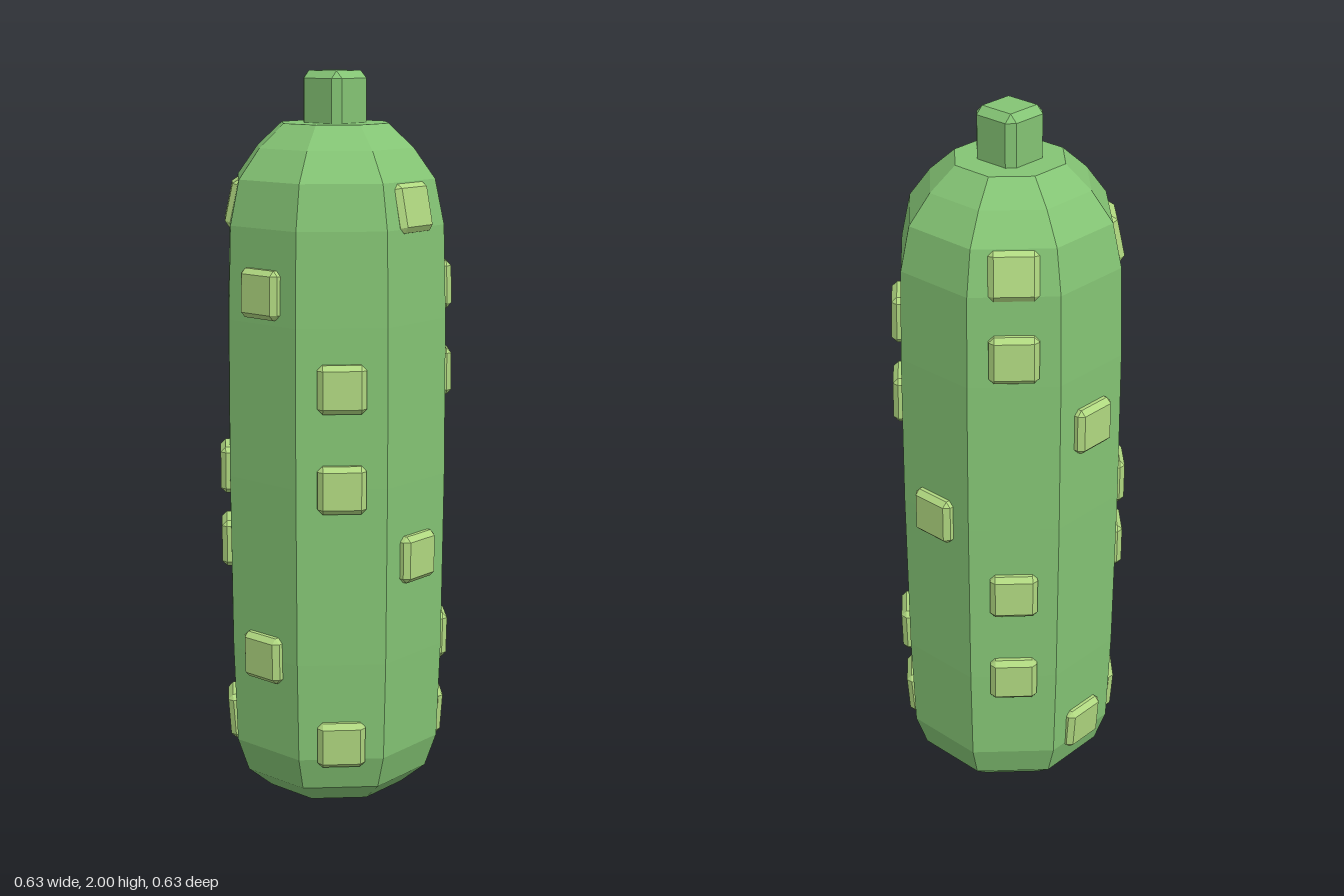
import * as THREE from 'three';
import { ConvexGeometry } from 'three/addons/geometries/ConvexGeometry.js';

// Box with every edge and corner cut flat by c
function chamferedBox(w, h, d, c) {
  const half = [w / 2, h / 2, d / 2];
  const points = [];
  for (const sx of [-1, 1]) for (const sy of [-1, 1]) for (const sz of [-1, 1]) {
    for (let axis = 0; axis < 3; axis++) {
      const p = [sx, sy, sz].map((s, i) => s * (half[i] - (i === axis ? 0 : c)));
      points.push(new THREE.Vector3(...p));
    }
  }
  return new ConvexGeometry(points);
}

export function createModel() {
  const model = new THREE.Group();
  model.name = 'cucumber';
  const skin = new THREE.MeshStandardMaterial({ color: 0x84c474, flatShading: true });
  const pale = new THREE.MeshStandardMaterial({ color: 0xb0d880, flatShading: true });

  // Eight-sided body; the profile gives the distance to the flats at each height
  const profile = [
    [0, 0], [0.185, 0], [0.25, 0.06], [0.28, 0.155], [0.289, 0.43], [0.293, 0.92],
    [0.291, 1.35], [0.284, 1.6], [0.26, 1.72], [0.205, 1.8], [0.14, 1.863], [0, 1.863],
  ].map(([r, y]) => new THREE.Vector2(r / Math.cos(Math.PI / 8), y));
  const body = new THREE.Mesh(new THREE.LatheGeometry(profile, 8, Math.PI / 8), skin);
  body.name = 'body';
  model.add(body);

  // Stem block on the top
  const stem = new THREE.Mesh(chamferedBox(0.138, 0.16, 0.138, 0.02), skin);
  stem.name = 'stem';
  stem.position.y = 1.92;
  model.add(stem);

  // Warts in rows: height, reach of the outer face, tilt, and the flats they sit on
  // (flat 0 faces the front, 2 faces +x, counted in eighths of a turn)
  const rows = [
    { y: 1.65, reach: 0.288, tilt: 0.21, flats: [2, 5, 7] },
    { y: 1.43, reach: 0.314, tilt: 0.02, flats: [0, 3, 5] },
    { y: 1.19, reach: 0.317, tilt: 0.01, flats: [1, 3, 6] },
    { y: 0.92, reach: 0.318, tilt: 0, flats: [1, 4, 7] },
    { y: 0.71, reach: 0.317, tilt: 0, flats: [2, 5, 7] },
    { y: 0.43, reach: 0.314, tilt: -0.02, flats: [0, 3, 5] },
    { y: 0.2, reach: 0.302, tilt: -0.07, flats: [1, 3, 6, 7] },
  ];
  const depth = 0.055;
  const wartGeometry = chamferedBox(0.13, 0.13, depth, 0.014);
  const warts = new THREE.Group();
  warts.name = 'warts';
  for (const { y, reach, tilt, flats } of rows) {
    for (const flat of flats) {
      const pivot = new THREE.Group();
      pivot.name = 'wart';
      pivot.rotation.y = flat * Math.PI / 4;
      const wart = new THREE.Mesh(wartGeometry, pale);
      wart.name = 'wartBlock';
      wart.position.set(0, y, reach - depth / 2);
      wart.rotation.x = -tilt;
      pivot.add(wart);
      warts.add(pivot);
    }
  }
  model.add(warts);
  return model;
}
